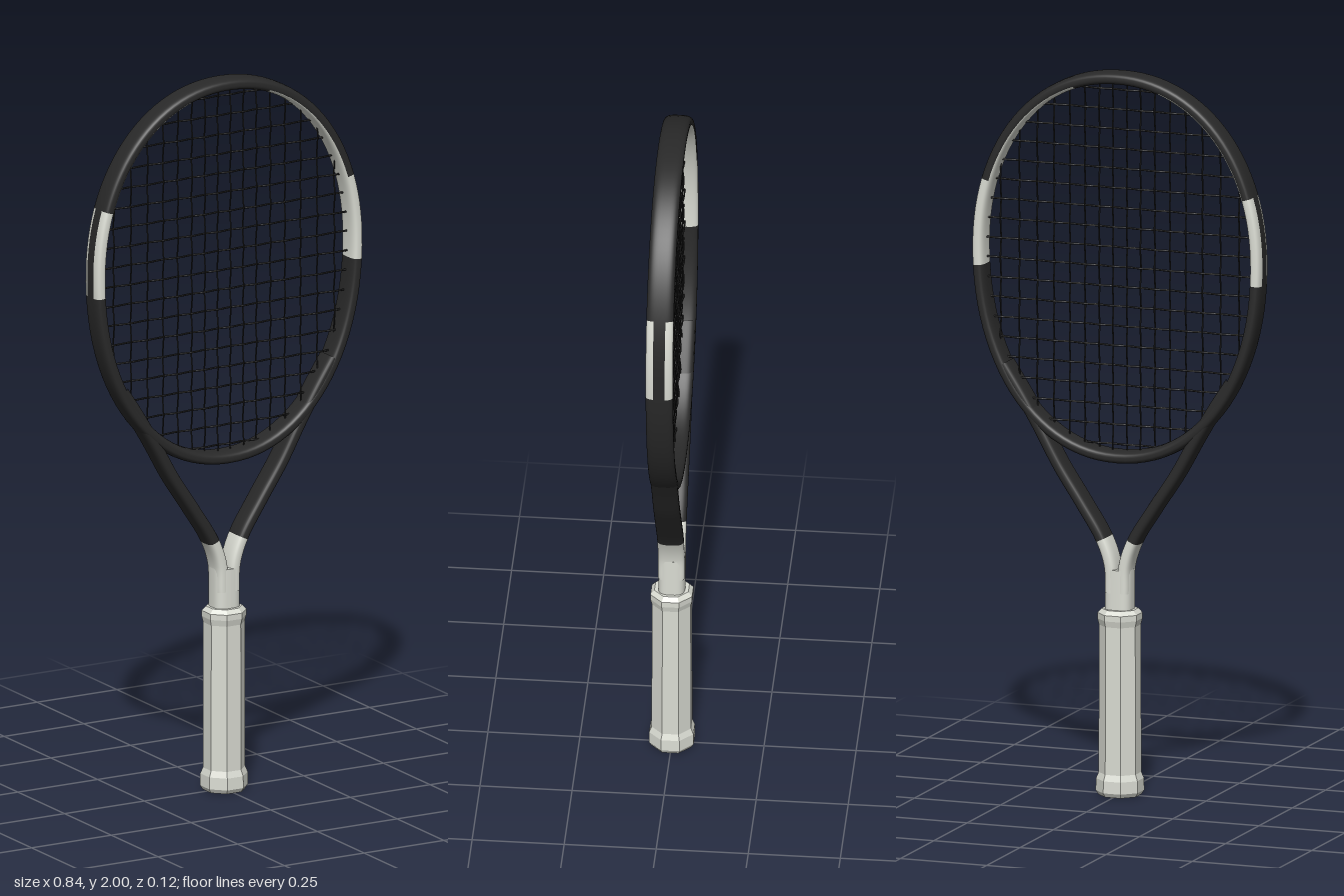
import * as THREE from 'three';

const paint = (name, color) => new THREE.MeshStandardMaterial({ name, color });
const pw = (v, e) => Math.sign(v) * Math.abs(v) ** e;

// Sweeps part (p0..p1) of a rounded-box cross-section along a planar path (t0..t1)
function sweep(path, t0, t1, n, a, b, p0, p1, m) {
  const pos = [], nor = [], idx = [];
  for (let i = 0; i <= n; i++) {
    const t = t0 + (t1 - t0) * i / n, e = 1e-3;
    const [x, y] = path(t), [xa, ya] = path(t - e), [xb, yb] = path(t + e);
    const len = Math.hypot(xb - xa, yb - ya);
    const nx = (yb - ya) / len, ny = -(xb - xa) / len;
    for (let j = 0; j <= m; j++) {
      const p = p0 + (p1 - p0) * j / m;
      const c = Math.cos(p), s = Math.sin(p);
      const u = a * pw(c, 2 / 3), w = b * pw(s, 2 / 3);
      const gu = pw(c, 4 / 3) / a, gw = pw(s, 4 / 3) / b, g = Math.hypot(gu, gw);
      pos.push(x + nx * u, y + ny * u, w);
      nor.push(nx * gu / g, ny * gu / g, gw / g);
      if (i < n && j < m) {
        const k = i * (m + 1) + j, q = k + m + 1;
        idx.push(k, q, k + 1, q, q + 1, k + 1);
      }
    }
  }
  const geo = new THREE.BufferGeometry();
  geo.setAttribute('position', new THREE.Float32BufferAttribute(pos, 3));
  geo.setAttribute('normal', new THREE.Float32BufferAttribute(nor, 3));
  geo.setIndex(idx);
  return geo;
}

export function createModel() {
  const model = new THREE.Group();
  model.name = 'racket';
  const dark = paint('charcoal frame', 0x292929);
  const light = paint('pale grey', 0xdadcd3);
  const stringMat = paint('black string', 0x1a1a1a);

  const add = (parent, name, geo, mat) => {
    const mesh = new THREE.Mesh(geo, mat);
    mesh.name = name;
    parent.add(mesh);
  };
  const group = (name) => {
    const g = new THREE.Group();
    g.name = name;
    model.add(g);
    return g;
  };

  // Egg-shaped head: a slightly squared oval, longer below its widest point
  const RX = 0.403, CY = 1.49, UP = 0.493, DOWN = 0.555, N = 2.1, PI = Math.PI;
  const egg = (t) => {
    const c = Math.cos(t), s = Math.sin(t);
    return [RX * pw(c, 2 / N), CY + (s > 0 ? UP : DOWN) * pw(s, 2 / N)];
  };
  const chord = (f) => (1 - Math.abs(f) ** N) ** (1 / N);
  const head = group('head');
  const A = 0.017, B = 0.037, out = 0.288, inn = 1.2;
  const strips = [
    ['outerBand', -out, out, 4],
    ['frontFace', out, PI - inn, 10],
    ['innerFace', PI - inn, PI + inn, 16],
    ['backFace', PI + inn, 2 * PI - out, 10],
  ];
  const lo = -0.08, mid = 0.37, hi = 1.27;
  const arcs = [
    ['leftSide', lo, mid],
    ['leftShoulder', mid, hi],
    ['top', hi, PI - hi],
    ['rightShoulder', PI - hi, PI - mid],
    ['rightSide', PI - mid, PI - lo],
    ['bottom', PI - lo, 2 * PI + lo],
  ];
  for (const [arc, t0, t1] of arcs) {
    for (const [strip, p0, p1, m] of strips) {
      const pale = (arc.endsWith('Side') && strip !== 'outerBand')
        || (arc.endsWith('Shoulder') && strip === 'innerFace');
      const n = Math.ceil((t1 - t0) * 16);
      add(head, arc + '_' + strip, sweep(egg, t0, t1, n, A, B, p0, p1, m), pale ? light : dark);
    }
  }

  // Throat arms: dark above, pale where they join the shaft
  const armCurve = new THREE.CatmullRomCurve3([
    [0.018, 0.56], [0.021, 0.635], [0.045, 0.705], [0.104, 0.8],
    [0.17, 0.9], [0.226, 1.0], [0.28, 1.09], [0.332, 1.17],
  ].map(([x, y]) => new THREE.Vector3(x, y, 0)));
  const throat = group('throat');
  for (const [side, s] of [['left', 1], ['right', -1]]) {
    const path = (t) => {
      const p = armCurve.getPoint(t);
      return [s * p.x, p.y];
    };
    const e = 0.002, split = 2 / 7;
    add(throat, side + 'ArmBase', sweep(path, e, split, 14, 0.018, 0.036, 0, 2 * PI, 32), light);
    add(throat, side + 'Arm', sweep(path, split, 1 - e, 28, 0.018, 0.036, 0, 2 * PI, 32), dark);
  }

  // Shaft: a cylinder squared off to the frame's rounded-box section, up to the crotch
  const shaftGeo = new THREE.CylinderGeometry(1, 1, 0.14, 40);
  const sp = shaftGeo.attributes.position;
  for (let i = 0; i < sp.count; i++) {
    sp.setXYZ(i, 0.038 * pw(sp.getX(i), 2 / 3), sp.getY(i) + 0.555, 0.0365 * pw(sp.getZ(i), 2 / 3));
  }
  shaftGeo.computeVertexNormals();
  add(model, 'shaft', shaftGeo, light);

  // Octagonal grip with flared butt and collar (across-flats half widths)
  const profile = [
    [0, 0], [0.054, 0], [0.061, 0.012], [0.06, 0.045], [0.0535, 0.062],
    [0.0525, 0.47], [0.0565, 0.487], [0.0565, 0.503], [0.046, 0.515], [0, 0.515],
  ].map(([r, y]) => new THREE.Vector2(r / Math.cos(PI / 8), y));
  const gripGeo = new THREE.LatheGeometry(profile, 8, PI / 8).toNonIndexed();
  gripGeo.computeVertexNormals();
  add(model, 'grip', gripGeo, light);

  // Woven string bed
  const strings = group('strings');
  const mains = [];
  for (const x of [0.02, 0.06, 0.101, 0.145, 0.191, 0.24, 0.292, 0.346]) mains.push(-x, x);
  mains.sort((p, q) => p - q);
  const crosses = Array.from({ length: 19 }, (_, i) => 0.968 + 0.0545 * i);
  const WEAVE = 0.0026;
  const addString = (name, pts, radius) => {
    const curve = new THREE.CatmullRomCurve3(pts);
    add(strings, name, new THREE.TubeGeometry(curve, pts.length * 3, radius, 6), stringMat);
  };
  mains.forEach((x, i) => {
    const k = chord(x / RX), bottom = CY - DOWN * k, top = CY + UP * k;
    const pts = [new THREE.Vector3(x, bottom, 0)];
    crosses.forEach((y, j) => {
      if (y > bottom + 0.01 && y < top - 0.01) pts.push(new THREE.Vector3(x, y, (i + j) % 2 ? WEAVE : -WEAVE));
    });
    pts.push(new THREE.Vector3(x, top, 0));
    addString('mainString', pts, 0.0023);
  });
  crosses.forEach((y, j) => {
    const w = RX * chord((y - CY) / (y > CY ? UP : DOWN));
    const pts = [new THREE.Vector3(-w, y, 0)];
    mains.forEach((x, i) => {
      if (Math.abs(x) < w - 0.01) pts.push(new THREE.Vector3(x, y, (i + j) % 2 ? -WEAVE : WEAVE));
    });
    pts.push(new THREE.Vector3(w, y, 0));
    addString('crossString', pts, 0.0027);
  });

  return model;
}
